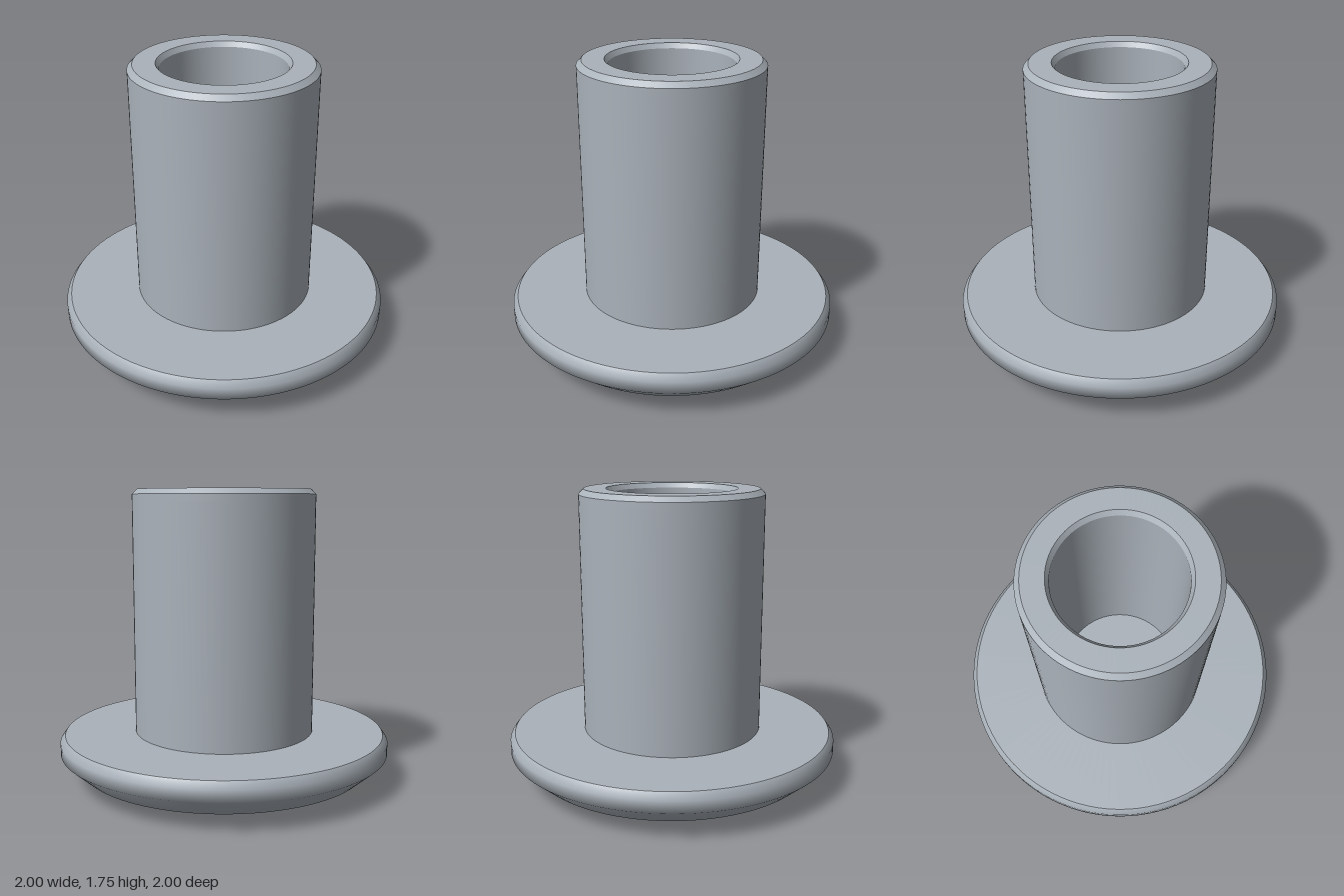
import * as THREE from 'three';

export function createModel() {
  const model = new THREE.Group();
  const steel = new THREE.MeshStandardMaterial({ color: 0xaab2ba });
  steel.name = 'steel grey';

  // Each profile is a smooth band; separate bands meet at sharp edges.
  const turn = (name, profile, parent) => {
    const points = profile.map(([r, y]) => new THREE.Vector2(r, y));
    const mesh = new THREE.Mesh(new THREE.LatheGeometry(points, 96), steel);
    mesh.name = name;
    parent.add(mesh);
  };

  // Wide flanged head with a shallow domed underside
  const head = new THREE.Group();
  head.name = 'head';
  model.add(head);
  turn('headCap', [[0, 0], [0.55, 0.015]], head);
  turn('headDome', [[0.55, 0.015], [0.88, 0.075]], head);
  turn('headRim', [[0.88, 0.075], [1, 0.18], [1, 0.25], [0.97, 0.29]], head);
  turn('headTop', [[0.97, 0.29], [0.545, 0.29]], head);

  // Hollow shank with chamfered mouth and blind bore
  const shank = new THREE.Group();
  shank.name = 'shank';
  model.add(shank);
  turn('shankWall', [[0.545, 0.29], [0.545, 1.68], [0.545, 1.72]], shank);
  turn('shankChamfer', [[0.545, 1.72], [0.515, 1.75]], shank);
  turn('shankEnd', [[0.515, 1.75], [0.385, 1.75]], shank);
  turn('boreChamfer', [[0.385, 1.75], [0.365, 1.72]], shank);
  turn('boreWall', [[0.365, 1.72], [0.365, 0.29]], shank);
  turn('boreFloor', [[0.365, 0.29], [0, 0.29]], shank);

  return model;
}
